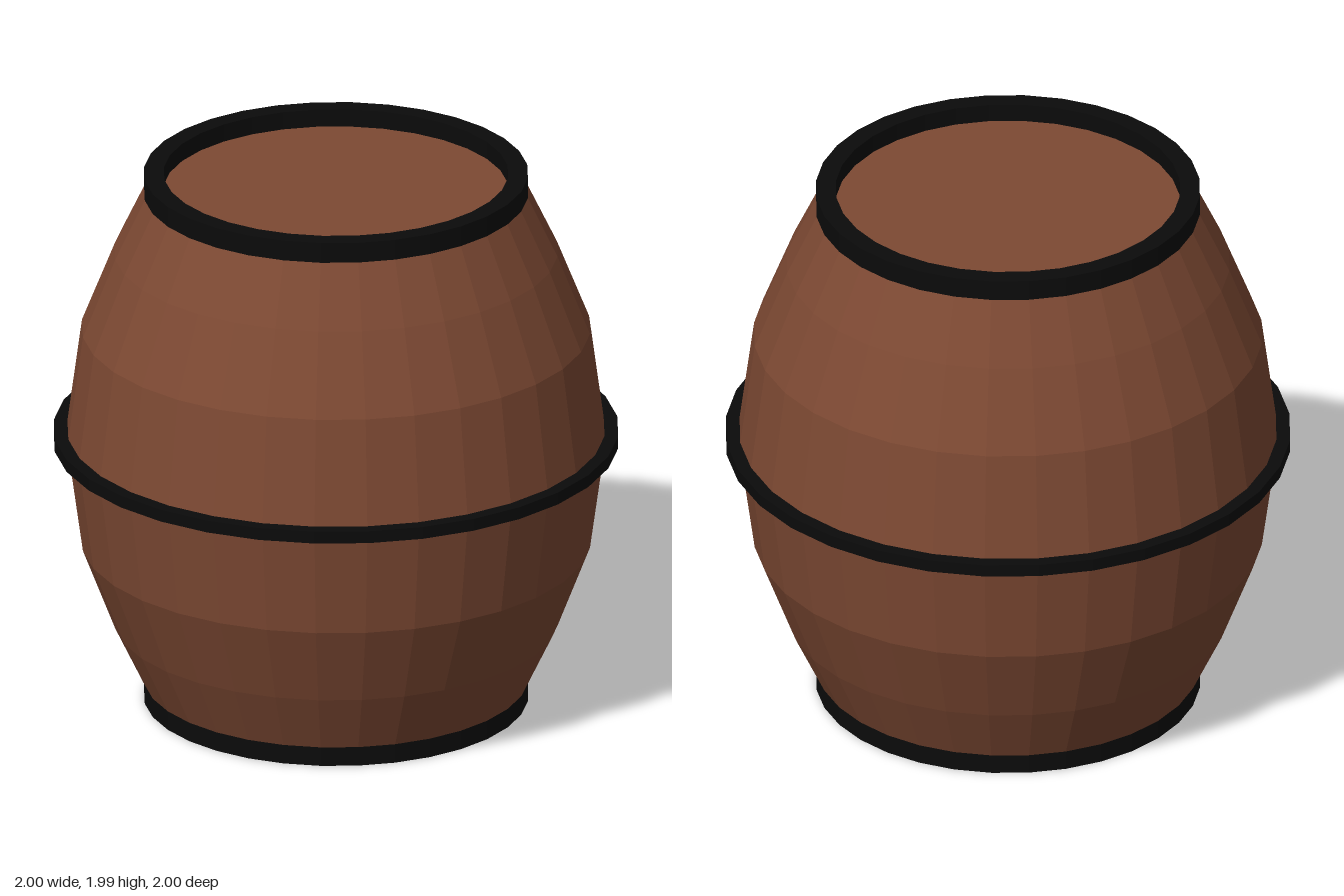
import * as THREE from 'three';

const SIDES = 32;
const wood = new THREE.MeshStandardMaterial({ color: 0x7d4933, flatShading: true });
const iron = new THREE.MeshStandardMaterial({ color: 0x0b0b0b, flatShading: true });

// Turns a list of [radius, height] pairs around the y axis
function turned(name, profile, material) {
  const points = profile.map(([r, y]) => new THREE.Vector2(r, y));
  const mesh = new THREE.Mesh(new THREE.LatheGeometry(points, SIDES), material);
  mesh.name = name;
  return mesh;
}

// Flat band with a rectangular section
function hoop(name, inner, outer, bottom, top) {
  return turned(name, [[inner, bottom], [outer, bottom], [outer, top], [inner, top], [inner, bottom]], iron);
}

export function createModel() {
  const barrel = new THREE.Group();
  barrel.name = 'barrel';

  // Bulging wooden body, closed by the lid just below the top rim
  barrel.add(turned('body', [
    [0.67, 0.05], [0.68, 0.07], [0.785, 0.29], [0.9, 0.59], [0.955, 0.99],
    [0.9, 1.4], [0.785, 1.69], [0.68, 1.91], [0.66, 1.92], [0, 1.92],
  ], wood));

  // Iron hoops around the top and the middle
  barrel.add(hoop('topHoop', 0.61, 0.68, 1.91, 1.985));
  barrel.add(hoop('middleHoop', 0.94, 1, 0.97, 1.015));

  // Closed iron base
  barrel.add(turned('base', [[0, 0], [0.68, 0], [0.68, 0.07], [0, 0.07]], iron));

  return barrel;
}
